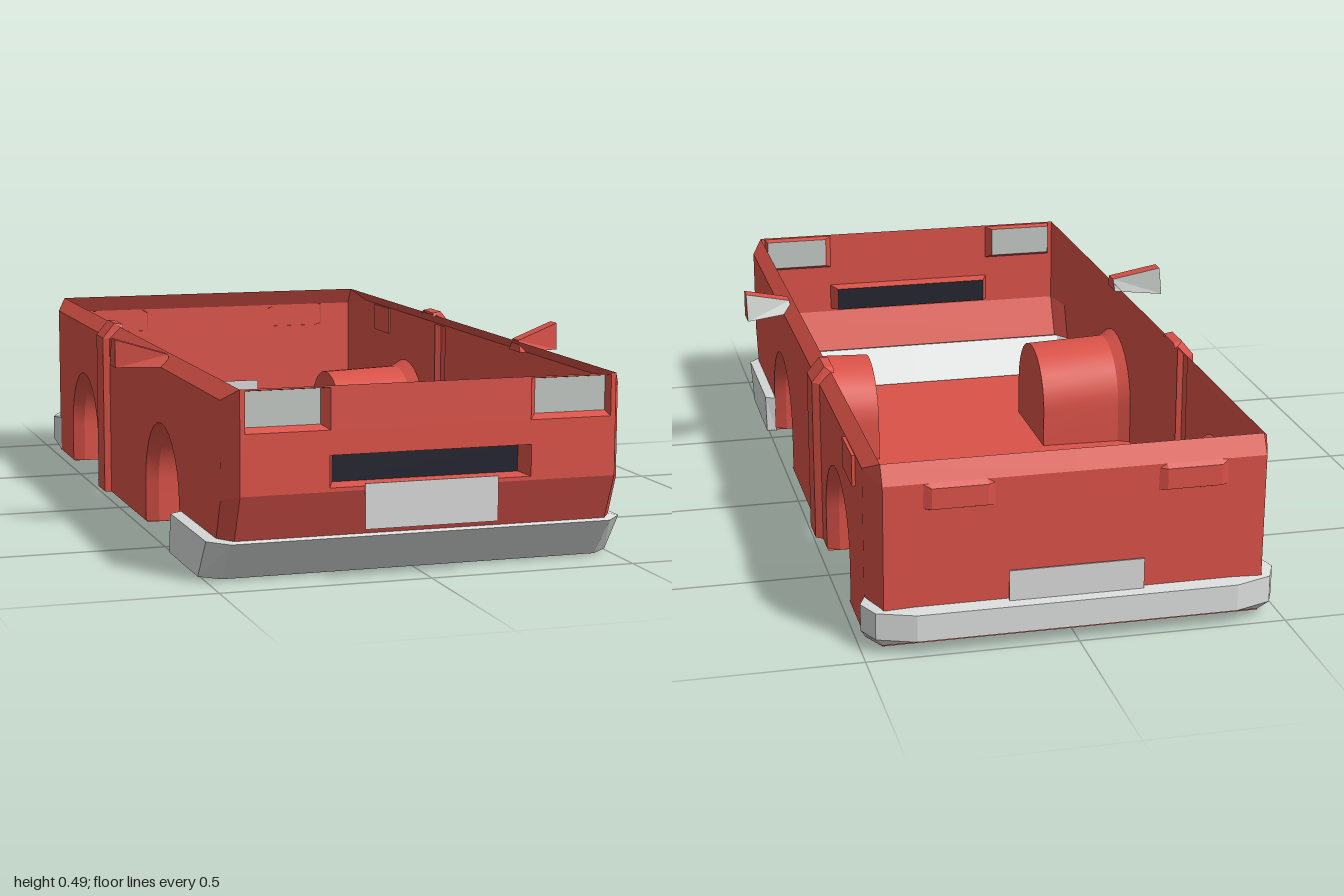
import * as THREE from 'three';

const paint = (name, color) => {
  const m = new THREE.MeshStandardMaterial({ color, side: THREE.DoubleSide });
  m.name = name;
  return m;
};

export function createModel() {
  const red = paint('body red', 0xd95248);
  const bumperGrey = paint('bumper grey', 0xdadcdc);
  const plateGrey = paint('plate grey', 0xd8d8d8);
  const lampGrey = paint('lamp grey', 0xc2c7c3);
  const dark = paint('grille dark', 0x23232f);

  const car = new THREE.Group();
  car.name = 'carBody';
  const half = new THREE.Group();
  half.name = 'leftHalf';

  const add = (parent, name, geo, mat) => {
    const mesh = new THREE.Mesh(geo, mat);
    mesh.name = name;
    parent.add(mesh);
    return mesh;
  };

  // Surface through rows of points; flat facets unless smooth
  function loft(rows, smooth = false) {
    const n = rows[0].length, index = [];
    for (let r = 0; r < rows.length - 1; r++) {
      for (let i = 0; i < n - 1; i++) {
        const a = r * n + i, b = a + 1, c = a + n, d = c + 1;
        index.push(a, c, b, b, c, d);
      }
    }
    let geo = new THREE.BufferGeometry();
    geo.setAttribute('position', new THREE.Float32BufferAttribute(rows.flat(2), 3));
    geo.setIndex(index);
    if (!smooth) geo = geo.toNonIndexed();
    geo.computeVertexNormals();
    return geo;
  }

  // Flat outline with holes, each corner placed in space by a rule
  function panel(points, holes, place) {
    const path = (pts) => pts.map((p) => new THREE.Vector2(...p));
    const shape = new THREE.Shape(path(points));
    holes.forEach((h) => shape.holes.push(new THREE.Path(path(h))));
    const geo = new THREE.ShapeGeometry(shape);
    const pos = geo.attributes.position;
    for (let i = 0; i < pos.count; i++) pos.setXYZ(i, ...place(pos.getX(i), pos.getY(i)));
    geo.computeVertexNormals();
    return geo;
  }

  const rect = (x0, x1, y0, y1) => [[x0, y0], [x1, y0], [x1, y1], [x0, y1]];

  // Wheel arch outline as [z, y], from rear foot to front foot
  function arch(cz, r) {
    const pts = [[cz - r, 0.01]];
    for (let i = 0; i <= 14; i++) {
      const a = Math.PI * (1 - i / 14);
      pts.push([cz + r * Math.cos(a), 0.115 + r * Math.sin(a)]);
    }
    pts.push([cz + r, 0.01]);
    return pts;
  }

  // Side wall with arch openings and a slot behind the hollow rib
  const frontWheel = 0.39, rearWheel = -0.52;
  add(half, 'sideWall', panel(
    [[-0.88, 0.01], ...arch(rearWheel, 0.172), ...arch(frontWheel, 0.172).slice(0, -1),
      [0.562, 0.105], [0.9, 0.105], [0.94, 0.2], [0.94, 0.425], [-0.88, 0.425]],
    [rect(-0.275, -0.195, 0.015, 0.42)],
    (z, y) => [0.48, y, z]), red);

  // Chamfered shoulder and corner panels
  add(half, 'shoulder', loft([
    [[0.48, 0.425, 0.94], [0.48, 0.425, -0.88], [0.45, 0.41, -0.968], [0, 0.41, -0.968]],
    [[0.45, 0.455, 0.995], [0.45, 0.455, -0.942], [0.45, 0.455, -0.942], [0, 0.455, -0.942]],
  ]), red);
  add(half, 'frontCorner', loft([
    [[0.45, 0.455, 0.995], [0.45, 0.215, 0.995], [0.45, 0.105, 0.945]],
    [[0.48, 0.425, 0.94], [0.48, 0.2, 0.94], [0.48, 0.105, 0.9]],
  ]), red);
  add(half, 'rearCorner', loft([
    [[0.48, 0.425, -0.88], [0.48, 0.01, -0.88]],
    [[0.45, 0.41, -0.968], [0.45, 0.1, -0.962]],
  ]), red);

  // Wheel wells: bevelled lip, tunnel and inner cap
  for (const [name, cz] of [['front', frontWheel], ['rear', rearWheel]]) {
    const ring = (r, x) => arch(cz, r).map(([z, y]) => [x, y, z]);
    add(half, name + 'ArchLip', loft([ring(0.172, 0.48), ring(0.155, 0.45)], true), red);
    add(half, name + 'WheelWell', loft([ring(0.155, 0.45), ring(0.147, 0.235)], true), red);
    add(half, name + 'WellCap', panel(arch(cz, 0.147), [], (z, y) => [0.235, y, z]), red);
  }

  // Floor with notches for the wells
  const notch = (cz) => [[0.48, cz + 0.155], [0.235, cz + 0.147], [0.235, cz - 0.147], [0.48, cz - 0.155]];
  add(half, 'floor', panel(
    [[0, 0.865], [0.45, 0.865], [0.48, 0.83], ...notch(frontWheel), ...notch(rearWheel),
      [0.48, -0.88], [0.45, -0.942], [0, -0.942]],
    [], (x, z) => [x, 0.01, z]), red);

  // Hollow rib over the side wall
  const ribRow = (z, raised) => (raised
    ? [[0.497, 0.01, z], [0.497, 0.427, z], [0.465, 0.466, z], [0.442, 0.462, z]]
    : [[0.48, 0.01, z], [0.48, 0.425, z], [0.45, 0.455, z], [0.442, 0.45, z]]);
  add(half, 'sideRib', loft([ribRow(-0.187, false), ribRow(-0.192, true),
    ribRow(-0.272, true), ribRow(-0.285, false)]), red);

  // Wing mirror with a pale glass facing back
  const mirrorRing = (rootX, x, pts) => pts.map(([k, y, z]) => [k ? x : rootX, y, z]);
  const back = mirrorRing(0.46, 0.583, [[0, 0.425, 0.325], [1, 0.422, 0.282], [1, 0.491, 0.305], [0, 0.455, 0.345], [0, 0.425, 0.325]]);
  const front = mirrorRing(0.46, 0.583, [[0, 0.425, 0.398], [1, 0.422, 0.345], [1, 0.491, 0.345], [0, 0.455, 0.385], [0, 0.425, 0.398]]);
  add(half, 'mirrorShell', loft([back, front]), red);
  add(half, 'mirrorFront', loft([[front[0], front[1]], [front[3], front[2]]]), red);
  add(half, 'mirrorGlass', loft([[back[0], back[1]], [back[3], back[2]]]), lampGrey);

  // Bumpers: ledge, outer face and underside swept round each corner
  const level = (y, pts) => pts.map(([x, z]) => [x, y, z]);
  add(half, 'frontBumper', loft([
    level(0.105, [[0.48, 0.56], [0.48, 0.58], [0.48, 0.9], [0.45, 0.945], [0, 0.945]]),
    level(0.1, [[0.48, 0.56], [0.505, 0.575], [0.505, 0.905], [0.46, 0.955], [0, 0.955]]),
    level(0.003, [[0.48, 0.55], [0.505, 0.56], [0.505, 0.83], [0.46, 0.87], [0, 0.87]]),
    level(0.01, [[0.48, 0.55], [0.48, 0.56], [0.48, 0.83], [0.45, 0.865], [0, 0.865]]),
  ]), bumperGrey);
  add(half, 'rearBumper', loft([
    level(0.11, [[0.48, -0.87], [0.48, -0.88], [0.45, -0.95], [0.38, -0.962], [0, -0.962]]),
    level(0.105, [[0.48, -0.87], [0.495, -0.91], [0.47, -0.967], [0.38, -1], [0, -1]]),
    level(0.04, [[0.48, -0.87], [0.495, -0.91], [0.47, -0.967], [0.38, -1], [0, -1]]),
    level(0.012, [[0.48, -0.87], [0.48, -0.88], [0.45, -0.942], [0.38, -0.942], [0, -0.942]]),
  ]), bumperGrey);

  // Recessed unit: sloping frame from the front face to an inset plate
  function recess(parent, name, outer, inner, depth, mat) {
    const close = (pts, z) => [...pts, pts[0]].map(([x, y]) => [x, y, z]);
    add(parent, name + 'Frame', loft([close(outer, 0.995), close(inner, 0.995 - depth)]), red);
    add(parent, name, panel(inner, [], (x, y) => [x, y, 0.995 - depth]), mat);
  }
  const lampHole = rect(0.24, 0.438, 0.355, 0.451);
  const grilleHole = rect(-0.242, 0.242, 0.224, 0.298);
  recess(half, 'headlamp', lampHole, rect(0.257, 0.432, 0.366, 0.447), 0.022, lampGrey);
  recess(car, 'grille', grilleHole, rect(-0.225, 0.225, 0.23, 0.294), 0.04, dark);

  // Low hood over each rear lamp place
  const hood = (y, z) => [[0.19, y, -0.966], [0.21, y, z], [0.34, y, z], [0.36, y, -0.966]];
  add(half, 'rearLampHood', loft([hood(0.41, -0.968), hood(0.4, -0.978), hood(0.35, -0.978), hood(0.345, -0.966)]), red);

  // Mirror the half
  const other = half.clone();
  other.name = 'rightHalf';
  other.scale.x = -1;
  car.add(half, other);

  // Front and rear faces
  add(car, 'frontFace', panel(rect(-0.45, 0.45, 0.215, 0.455),
    [lampHole, lampHole.map(([x, y]) => [-x, y]), grilleHole], (x, y) => [x, y, 0.995]), red);
  add(car, 'frontLowerFace', loft([
    [[-0.45, 0.215, 0.995], [0.45, 0.215, 0.995]],
    [[-0.45, 0.105, 0.945], [0.45, 0.105, 0.945]],
  ]), red);
  add(car, 'rearFace', panel(rect(-0.45, 0.45, 0.1, 0.41), [rect(-0.155, 0.155, 0.112, 0.178)],
    (x, y) => [x, y, -0.962 - 0.006 * (y - 0.1) / 0.31]), red);

  // Blank plates
  add(car, 'frontPlate', new THREE.BoxGeometry(0.32, 0.105, 0.004), plateGrey).position.set(0, 0.178, 0.998);
  add(car, 'rearPlate', new THREE.BoxGeometry(0.32, 0.075, 0.004), plateGrey).position.set(0, 0.145, -0.972);

  // Fuel flap on the left side only
  add(car, 'fuelFlap', new THREE.BoxGeometry(0.012, 0.075, 0.13), red).position.set(0.482, 0.385, -0.725);

  return car;
}
